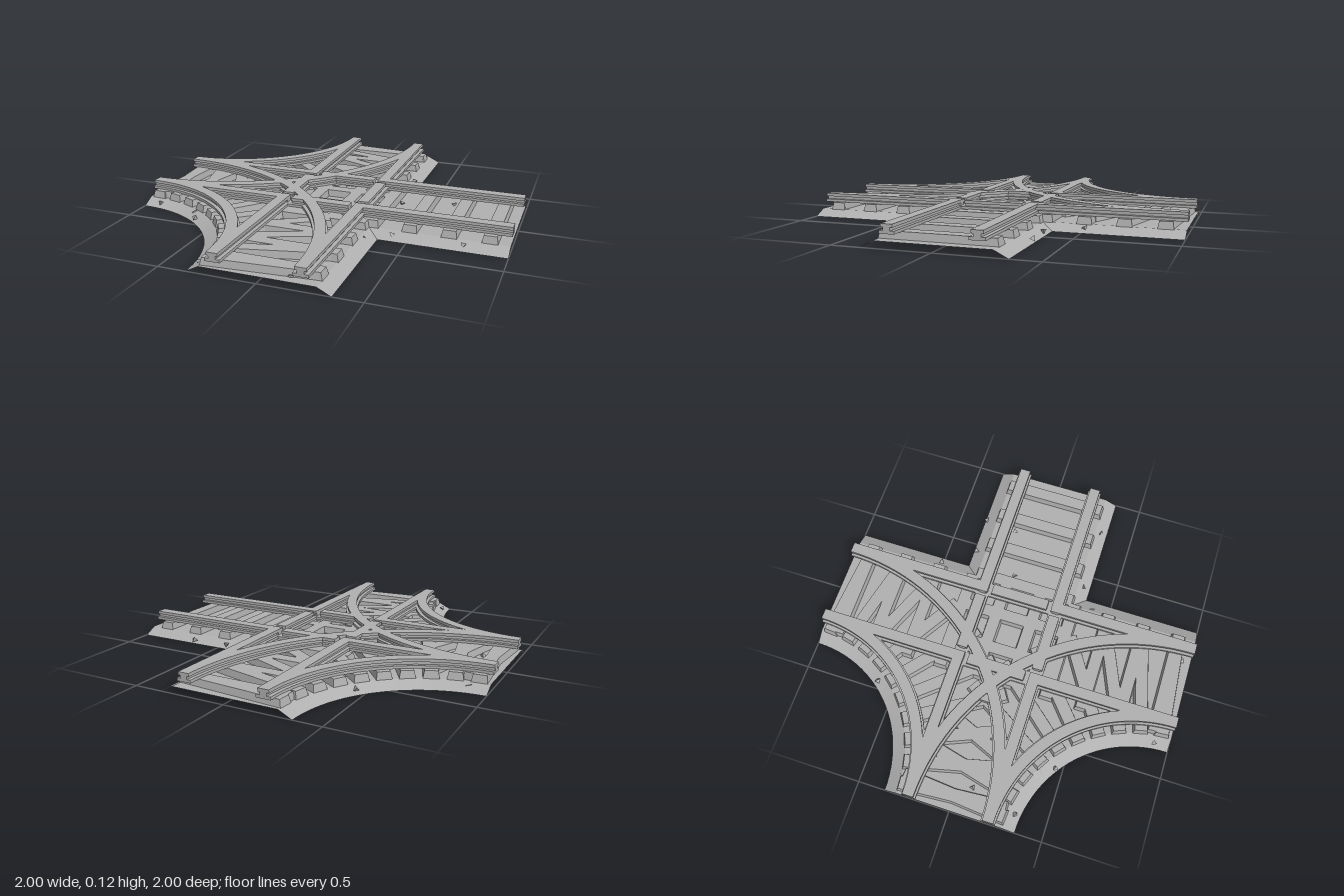
import * as THREE from 'three';
import { toCreasedNormals } from 'three/addons/utils/BufferGeometryUtils.js';

const EDGE = 0.355, SLOPE = 0.07, BED = 0.035, GAUGE = 0.2135;

export function createModel() {
  const model = new THREE.Group();
  const grey = new THREE.MeshStandardMaterial({ color: 0xb0b0b0 });
  grey.name = 'stone grey';
  const greyOpen = grey;
  greyOpen.side = THREE.DoubleSide;

  const add = (parent, name, geometry) => {
    const mesh = new THREE.Mesh(geometry, grey);
    mesh.name = name;
    parent.add(mesh);
    return mesh;
  };
  const group = (name) => {
    const g = new THREE.Group();
    g.name = name;
    model.add(g);
    return g;
  };

  // Ballast bed outline; e is the half width of each arm, curves sweep the left side
  const outline = (e) => {
    const p = [[e, 1], [e, e], [1, e], [1, -e], [e, -e], [e, -1]];
    const N = 24, r = 1 - e;
    for (let i = 0; i <= N; i++) {
      const a = (i / N) * Math.PI / 2;
      p.push([-1 + r * Math.cos(a), -1 + r * Math.sin(a)]);
    }
    for (let i = 0; i <= N; i++) {
      const a = (i / N) * Math.PI / 2;
      p.push([-1 + r * Math.sin(a), 1 - r * Math.cos(a)]);
    }
    return p;
  };
  const outer = outline(EDGE), inner = outline(EDGE - SLOPE);
  const bed = group('ballastBed');
  const top = new THREE.ShapeGeometry(new THREE.Shape(inner.map(([x, z]) => new THREE.Vector2(x, -z))));
  top.rotateX(-Math.PI / 2).translate(0, BED, 0);
  add(bed, 'bedTop', top);

  // Sloping shoulders, left open at the four track ends
  const pos = [];
  outer.forEach(([x, z], i) => {
    const j = (i + 1) % outer.length;
    const [x2, z2] = outer[j];
    const atEnd = (a, b) => Math.abs(Math.abs(a) - 1) < 1e-6 && Math.abs(a - b) < 1e-6;
    if (atEnd(x, x2) || atEnd(z, z2)) return;
    const a = [x, 0, z], b = [x2, 0, z2];
    const c = [inner[j][0], BED, inner[j][1]], d = [inner[i][0], BED, inner[i][1]];
    pos.push(...a, ...b, ...c, ...a, ...c, ...d);
  });
  const shoulder = new THREE.BufferGeometry();
  shoulder.setAttribute('position', new THREE.Float32BufferAttribute(pos, 3));
  shoulder.computeVertexNormals();
  add(bed, 'bedShoulder', shoulder);

  // Sleepers: bars with a slightly narrower top, lying along local x
  const bar = new THREE.BoxGeometry(0.58, 0.038, 0.08);
  const bp = bar.attributes.position;
  for (let i = 0; i < bp.count; i++) {
    if (bp.getY(i) > 0) bp.setXYZ(i, bp.getX(i) * 0.97, bp.getY(i), bp.getZ(i) * 0.82);
  }
  bar.computeVertexNormals();
  const sleepers = group('sleepers');
  const sleeper = (x, z, turn) => {
    const m = add(sleepers, 'sleeper', bar);
    m.position.set(x, 0.052, z);
    m.rotation.y = turn;
  };
  for (let k = 0; k < 5; k++) {
    const t = 0.1 + 0.2 * k;
    sleeper(0, t, 0);
    sleeper(0, -t, 0);
    sleeper(t, 0, Math.PI / 2);
    if (k === 0) sleeper(-t, 0, Math.PI / 2);
  }
  // Fanned sleepers under both curves
  for (const s of [-1, 1]) {
    for (let i = 0; i < 10; i++) {
      const a = (4.5 + 9 * i) * Math.PI / 180;
      sleeper(-1 + Math.cos(a), s * (1 - Math.sin(a)), s * a);
    }
  }

  // Rail profile: wide foot, narrow web, broad head
  const foot = [[-0.038, 0.069], [0.038, 0.069], [0.038, 0.084], [-0.038, 0.084]];
  const head = [[-0.018, 0.083], [0.018, 0.083], [0.018, 0.099], [0.029, 0.099],
    [0.029, 0.115], [-0.029, 0.115], [-0.029, 0.099], [-0.018, 0.099]];
  const vectors = (pts, dx = 0) => pts.map(([x, y]) => new THREE.Vector2(x + dx, y));
  const straight = (pts, from, to) => new THREE.ExtrudeGeometry(new THREE.Shape(vectors(pts)),
    { depth: to - from, bevelEnabled: false }).translate(0, 0, from);

  // Straight rails both ways, with flangeway gaps inside the crossing
  const rails = group('straightRails');
  const footGeo = straight(foot, -1, 1);
  const headGeos = [[-1, -0.185], [-0.16, 0.16], [0.185, 1]].map(([a, b]) => straight(head, a, b));
  for (const turn of [0, Math.PI / 2]) {
    for (const s of [-1, 1]) {
      const rail = new THREE.Group();
      rail.name = 'straightRail';
      rail.rotation.y = turn;
      rail.position.set(turn ? 0 : s * GAUGE, 0, turn ? s * GAUGE : 0);
      add(rail, 'railFoot', footGeo);
      headGeos.forEach((g) => add(rail, 'railHead', g));
      rails.add(rail);
    }
  }

  // Curved rails turning from the right arm to the front and back arms
  const curves = group('curvedRails');
  for (const s of [-1, 1]) {
    for (const r of [1 - GAUGE, 1 + GAUGE]) {
      for (const [name, pts] of [['curvedFoot', foot], ['curvedHead', head]]) {
        const loop = vectors([...pts, pts[0]], r);
        const g = new THREE.LatheGeometry(loop, 32, s < 0 ? 0 : Math.PI / 2, Math.PI / 2);
        add(curves, name, toCreasedNormals(g, 0.5)).position.set(-1, 0, s);
      }
    }
  }

  // Frog wedge where the two outer curves cross
  const wedge = new THREE.Shape(vectors([[-0.41, 0.055], [-0.31, 0], [-0.41, -0.055]].reverse()));
  const frog = new THREE.ExtrudeGeometry(wedge, { depth: 0.035, bevelEnabled: false });
  frog.rotateX(-Math.PI / 2).translate(0, 0.069, 0);
  add(model, 'frogWedge', frog);

  // Loose stones on the shoulders
  const stones = group('looseStones');
  const stone = new THREE.TetrahedronGeometry(0.019);
  const spots = [[-0.46, -0.6], [-0.9, -0.31], [0.32, -0.51], [0.45, -0.34], [0.66, -0.35], [0.42, 0.32],
    [0.78, 0.32], [0.3, 0.4], [-0.91, 0.33], [-0.66, 0.39], [-0.62, 0.46], [-0.33, 0.92],
    [0.06, 0.55], [0.15, 0.95], [0.36, -0.08], [0.63, -0.16], [-0.85, 0.08]];
  spots.forEach(([x, z], i) => {
    const m = add(stones, 'stone', stone);
    const onBed = Math.min(Math.abs(x), Math.abs(z)) < 0.2;
    m.position.set(x, onBed ? 0.04 : 0.022, z);
    m.rotation.set(i * 1.3, i * 2.1, i * 0.7);
  });

  return model;
}
